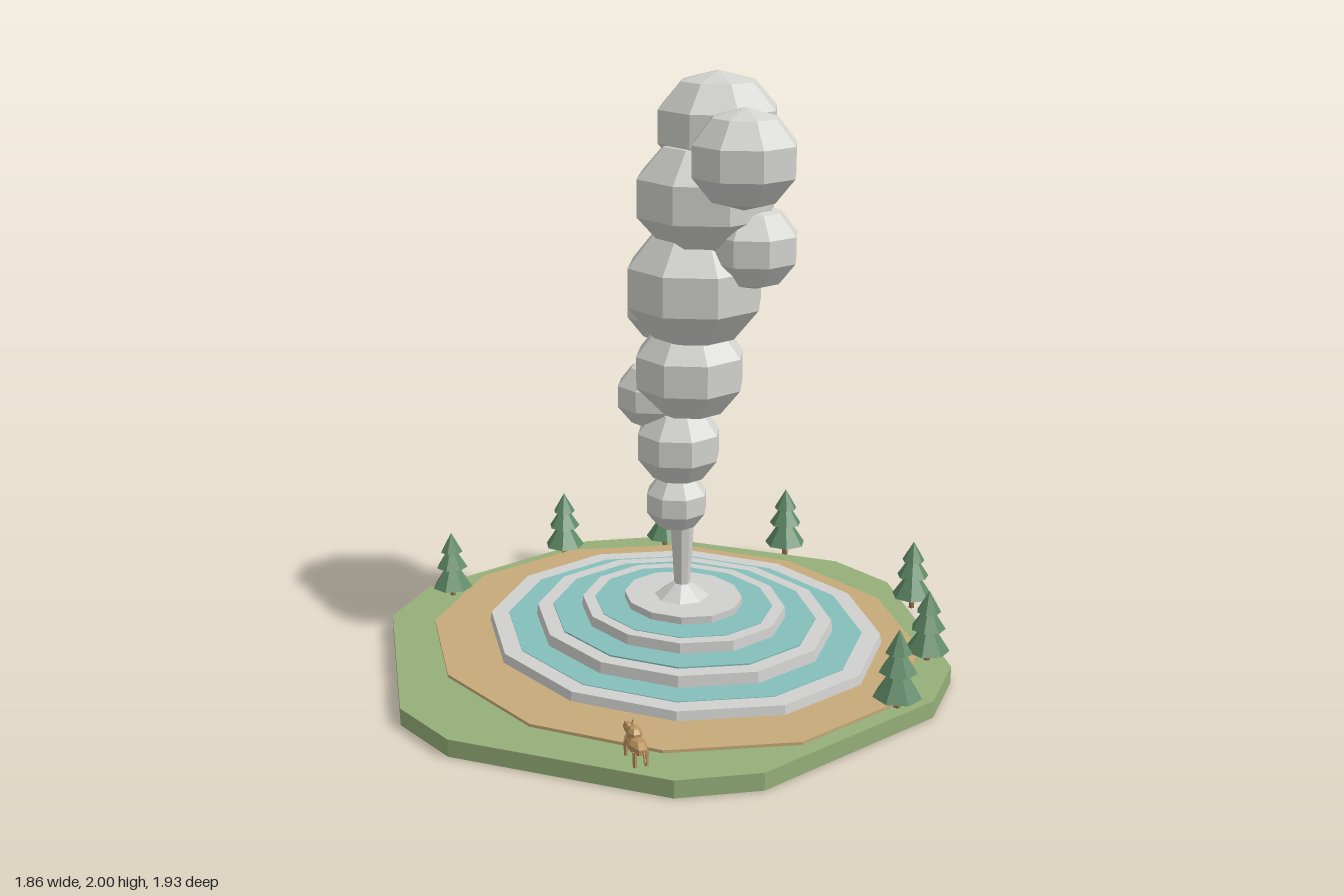
import * as THREE from 'three';

const material = (name, color) => {
  const m = new THREE.MeshStandardMaterial({ color, flatShading: true });
  m.name = name;
  return m;
};

export function createModel() {
  const grass = material('grass', 0x95ae79);
  const sand = material('sand', 0xc5aa78);
  const stone = material('stone', 0xd0d0ce);
  const water = material('water', 0x84bfba);
  const steam = material('steam', 0xd2d2ce);
  const needles = material('needles', 0x5f8a66);
  const bark = material('bark', 0x957048);
  const hide = material('hide', 0xb8925c);

  const model = new THREE.Group();
  model.name = 'geyser';

  const add = (parent, name, geometry, mat, x = 0, y = 0, z = 0) => {
    const mesh = new THREE.Mesh(geometry, mat);
    mesh.name = name;
    mesh.position.set(x, y, z);
    parent.add(mesh);
    return mesh;
  };

  // Twelve-sided slab between two heights, squashed front to back
  const slab = (name, mat, halfWidth, y0, y1, z, taper = 1) => {
    const r = halfWidth / Math.cos(Math.PI / 12);
    const g = new THREE.CylinderGeometry(r * taper, r, y1 - y0, 12, 1, false, Math.PI / 12);
    g.scale(1, 1, 0.905);
    return add(model, name, g, mat, 0, (y0 + y1) / 2, z);
  };

  // Grassy ground with an uneven twelve-sided outline
  const quarter = [[0.135, 0.965], [0.77, 0.6], [0.905, 0.365]];
  const back = quarter.slice().reverse();
  const outline = [
    ...quarter, ...back.map(([x, z]) => [x, -z]),
    ...quarter.map(([x, z]) => [-x, -z]), ...back.map(([x, z]) => [-x, z]),
  ].map(([x, z]) => new THREE.Vector2(x, -z));
  const ground = new THREE.ExtrudeGeometry(new THREE.Shape(outline), { depth: 0.058, bevelEnabled: false });
  ground.rotateX(-Math.PI / 2);
  add(model, 'ground', ground, grass, 0, 0.002, 0);

  // Sand bed and rock foundation, both reaching through the ground
  slab('sandBed', sand, 0.85, 0.001, 0.07, -0.045);
  slab('foundation', stone, 0.59, 0, 0.07, -0.09);

  // Stepped terraces each holding a pool: half width, bottom, top, pool half width, pool rise
  const terraces = [
    [0.69, 0.06, 0.101, 0.62, 0.002],
    [0.52, 0.1, 0.141, 0.46, 0.005],
    [0.357, 0.141, 0.181, 0.31, 0.002],
  ];
  for (const [w, y0, y1, pool, rise] of terraces) {
    slab('terrace', stone, w, y0, y1, -0.09, 0.99);
    slab('pool', water, pool, y1 - 0.003, y1 + rise, -0.09);
  }
  slab('ventPlate', stone, 0.205, 0.178, 0.208, -0.09);
  add(model, 'ventCone', new THREE.CylinderGeometry(0.03, 0.095, 0.046, 8), stone, 0, 0.23, -0.085);

  // Water jet widening upward into the steam
  add(model, 'jet', new THREE.CylinderGeometry(0.056, 0.027, 0.5, 8), steam, 0, 0.5, -0.085);

  // Steam puffs: x, y, z, radius, half height
  const puffs = [
    [0, 0.555, -0.06, 0.11, 0.105],
    [0.033, 0.77, -0.04, 0.148, 0.14],
    [-0.05, 0.93, 0, 0.128, 0.115],
    [0.065, 1.03, -0.06, 0.192, 0.172],
    [-0.09, 1.22, -0.1, 0.15, 0.14],
    [0.11, 1.325, -0.042, 0.236, 0.208],
    [0.292, 1.465, -0.125, 0.152, 0.138],
    [-0.04, 1.6, -0.135, 0.16, 0.15],
    [0.14, 1.615, -0.06, 0.24, 0.195],
    [0.125, 1.83, -0.12, 0.208, 0.17],
    [0.35, 1.757, -0.03, 0.178, 0.158],
  ];
  for (const [x, y, z, r, h] of puffs) {
    const g = new THREE.SphereGeometry(r, 8, 5);
    g.rotateY(Math.PI / 8);
    g.scale(1, h / r, 1);
    add(model, 'steamPuff', g, steam, x, y, z);
  }

  // Fir trees: x, z, height scale
  const trees = [
    [-0.33, -0.885, 0.98], [0.33, -0.885, 0.92], [0.68, -0.58, 0.95], [0.858, -0.245, 1.02],
    [-0.685, -0.58, 0.91], [-0.86, -0.225, 0.94], [-0.795, 0.33, 0.92],
  ];
  trees.forEach(([x, z, s], i) => {
    const tree = new THREE.Group();
    tree.name = 'tree';
    tree.position.set(x, 0.055, z);
    tree.rotation.y = i * 0.7;
    tree.scale.setScalar(s);
    add(tree, 'trunk', new THREE.CylinderGeometry(0.01, 0.012, 0.06, 6), bark, 0, 0.022, 0);
    for (const [r, y, h] of [[0.078, 0.043, 0.12], [0.061, 0.125, 0.095], [0.043, 0.188, 0.077]]) {
      add(tree, 'foliage', new THREE.ConeGeometry(r, h, 7), needles, 0, y + h / 2, 0);
    }
    model.add(tree);
  });

  // Grazing animal, head toward -x
  const animal = new THREE.Group();
  animal.name = 'animal';
  animal.position.set(0.6, 0.06, 0.605);
  animal.rotation.y = -0.35;
  const lump = (name, x, y, a, b, c) => {
    const g = new THREE.SphereGeometry(1, 7, 5);
    g.scale(a, b, c);
    return add(animal, name, g, hide, x, y, 0);
  };
  lump('body', 0.005, 0.055, 0.072, 0.026, 0.03);
  lump('hump', -0.014, 0.08, 0.034, 0.025, 0.024);
  lump('head', -0.068, 0.074, 0.023, 0.017, 0.015);
  for (const side of [-1, 1]) {
    const horn = add(animal, 'horn', new THREE.ConeGeometry(0.004, 0.022, 5), bark, -0.062, 0.094, side * 0.012);
    horn.rotation.x = side * 0.4;
    for (const x of [-0.037, 0.045]) {
      add(animal, 'leg', new THREE.CylinderGeometry(0.008, 0.006, 0.05, 5), hide, x, 0.024, side * 0.018);
    }
  }
  const tail = add(animal, 'tail', new THREE.CylinderGeometry(0.003, 0.004, 0.035, 5), hide, 0.078, 0.048, 0);
  tail.rotation.z = 0.4;
  model.add(animal);

  return model;
}
